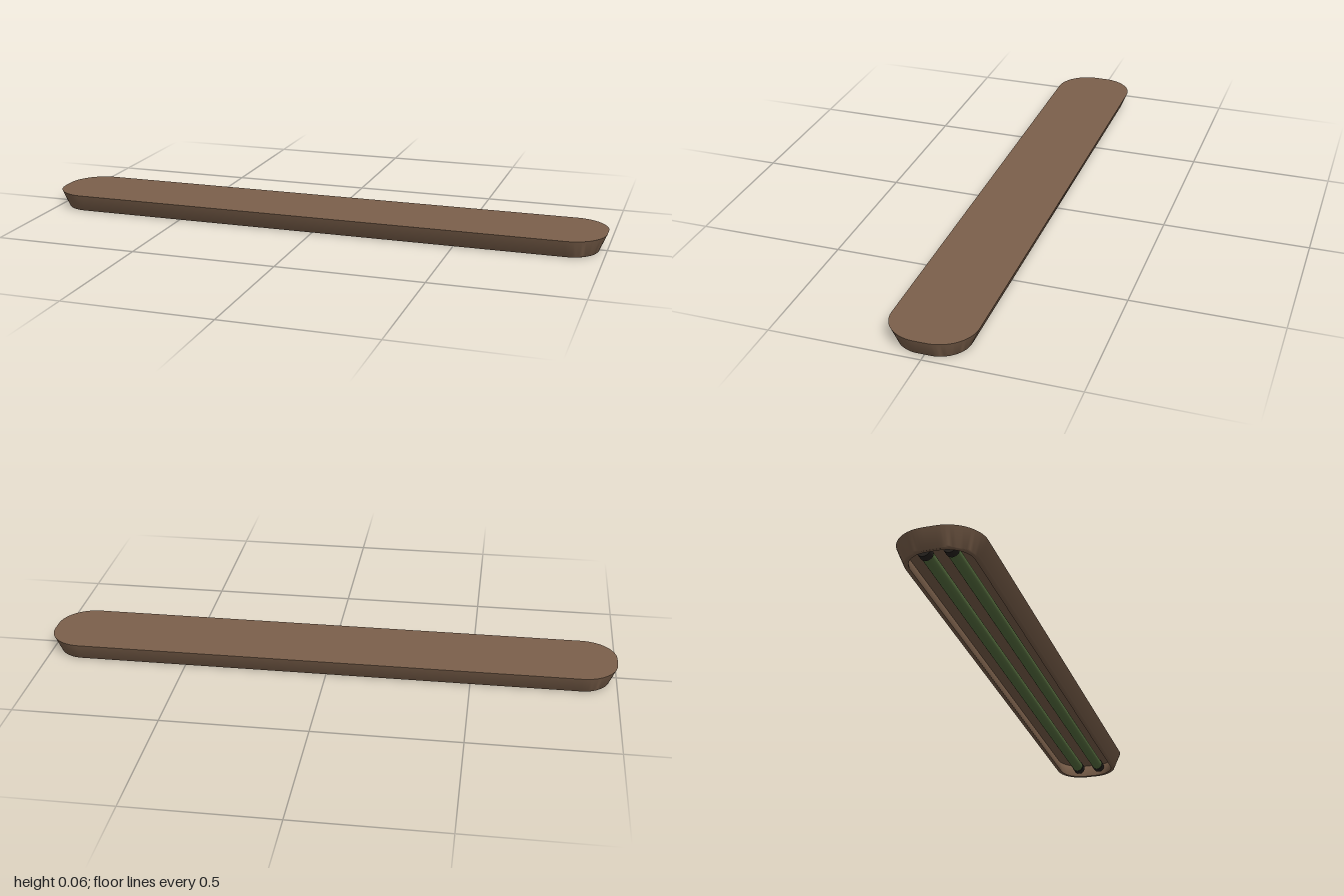
import * as THREE from 'three';
import { toCreasedNormals } from 'three/addons/utils/BufferGeometryUtils.js';

const HALF_X = 1, HALF_Z = 0.142, RADIUS = 0.122, STEPS = 14;

// Rounded rectangle in the xz plane, inset by a distance
function loop(inset, y) {
  const r = RADIUS - inset, pts = [];
  const cx = HALF_X - RADIUS, cz = HALF_Z - RADIUS;
  for (let q = 0; q < 4; q++) {
    const sx = q === 0 || q === 3 ? 1 : -1, sz = q < 2 ? 1 : -1;
    for (let i = 0; i <= STEPS; i++) {
      const a = (q + i / STEPS) * Math.PI / 2;
      pts.push([sx * cx + r * Math.cos(a), y, sz * cz + r * Math.sin(a)]);
    }
  }
  return pts;
}

// Shell: flat top, sloping wall, rounded lip, hollow underside
function shellGeometry() {
  const profile = [
    [0, 0.063], [0.0235, 0.007], [0.025, 0.003], [0.028, 0.0006], [0.031, 0],
    [0.036, 0], [0.039, 0.001], [0.04, 0.004], [0.028, 0.05],
  ];
  const loops = profile.map(([inset, y]) => loop(inset, y));
  const n = loops[0].length, last = loops.length - 1;
  const pos = loops.flat(2), index = [];
  pos.push(0, profile[0][1], 0, 0, profile[last][1], 0);
  const topCentre = loops.length * n, ceilingCentre = topCentre + 1;
  for (let i = 0; i < n; i++) {
    const j = (i + 1) % n;
    for (let k = 0; k < last; k++) {
      const a = k * n + i, b = k * n + j;
      index.push(a, b, a + n, b, b + n, a + n);
    }
    index.push(topCentre, j, i, ceilingCentre, last * n + i, last * n + j);
  }
  const g = new THREE.BufferGeometry();
  g.setAttribute('position', new THREE.Float32BufferAttribute(pos, 3));
  g.setIndex(index);
  return toCreasedNormals(g, 0.7);
}

export function createModel() {
  const group = new THREE.Group();
  const brown = new THREE.MeshStandardMaterial({ color: 0x7b604b });
  const green = new THREE.MeshStandardMaterial({ color: 0x587040 });
  const dark = new THREE.MeshStandardMaterial({ color: 0x26221f });

  function add(name, geometry, material, x = 0, y = 0, z = 0) {
    const mesh = new THREE.Mesh(geometry, material);
    mesh.name = name;
    mesh.position.set(x, y, z);
    group.add(mesh);
  }

  add('housing', shellGeometry(), brown);

  // Two long tubes with a dark socket at each end
  const tube = new THREE.CylinderGeometry(0.02, 0.02, 1.82, 24).rotateZ(Math.PI / 2);
  const socket = new THREE.CylinderGeometry(0.022, 0.022, 0.03, 24).rotateZ(Math.PI / 2);
  for (const side of [1, -1]) {
    const label = side > 0 ? 'front' : 'back';
    add(label + 'Tube', tube, green, 0, 0.027, side * 0.041);
    add(label + 'LeftSocket', socket, dark, 0.92, 0.027, side * 0.041);
    add(label + 'RightSocket', socket, dark, -0.92, 0.027, side * 0.041);
  }
  return group;
}
